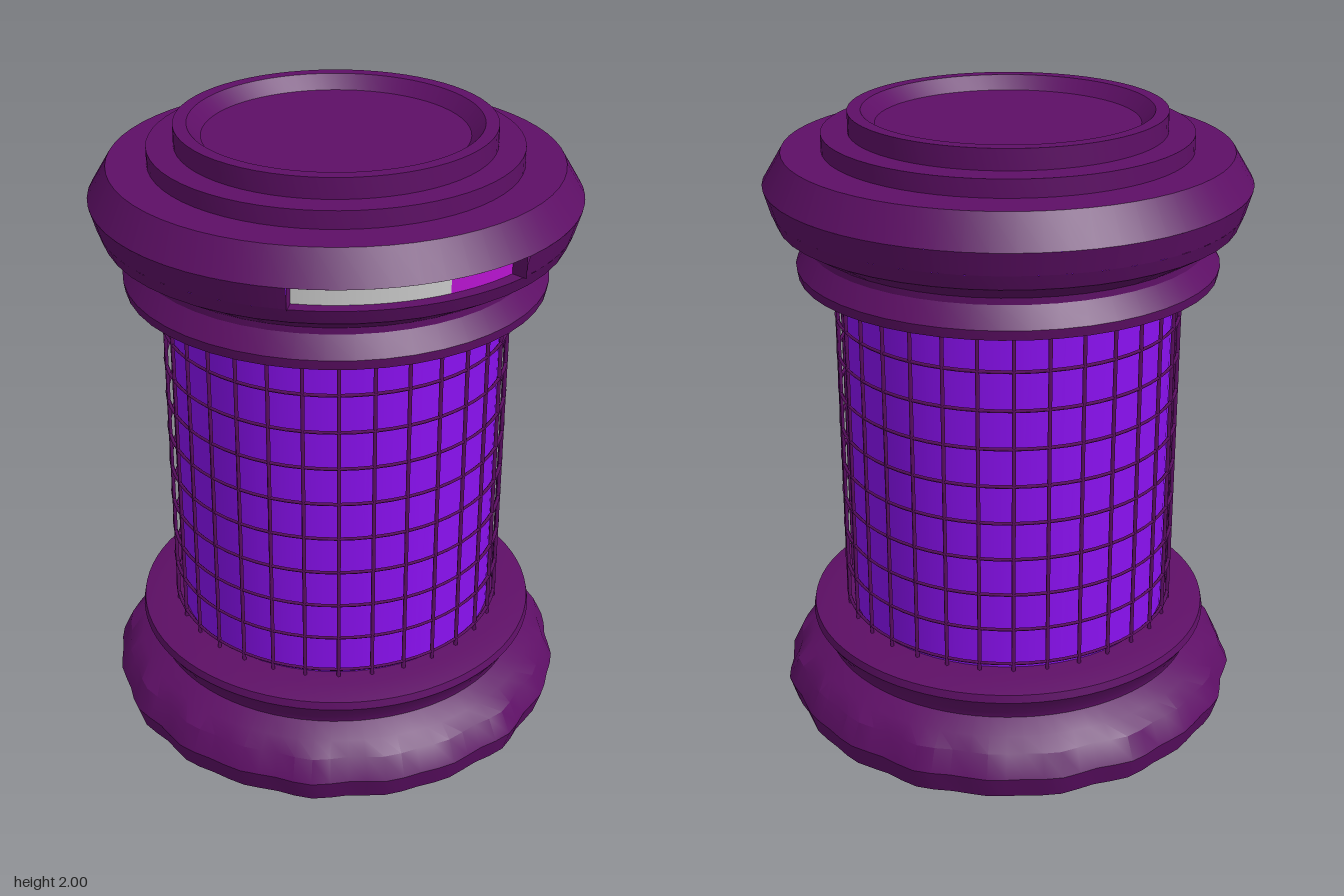
import * as THREE from 'three';
import { toCreasedNormals } from 'three/addons/utils/BufferGeometryUtils.js';

const plum = new THREE.MeshStandardMaterial({ color: 0x5e0f66, side: THREE.DoubleSide });
const violet = new THREE.MeshStandardMaterial({ color: 0x8a10f0 });
const magenta = new THREE.MeshStandardMaterial({ color: 0xb814d0 });
const grey = new THREE.MeshStandardMaterial({ color: 0xcccccc });

export function createModel() {
  const group = new THREE.Group();
  const rad = THREE.MathUtils.degToRad;

  const add = (name, geometry, material, parent = group) => {
    const mesh = new THREE.Mesh(geometry, material);
    mesh.name = name;
    parent.add(mesh);
    return mesh;
  };

  // Turned part from [radius, y] pairs listed upwards; angles run from +z towards +x
  const turned = (points, segments = 48, start = 0, sweep = 360) => new THREE.LatheGeometry(
    points.map(([r, y]) => new THREE.Vector2(r, y)), segments, rad(start), rad(sweep));
  const crease = (geometry) => toCreasedNormals(geometry, 0.5);

  // Base: bulging foot with a slightly uneven rim, groove and collar
  const base = turned([
    [0, 0], [0.35, 0.015], [0.6, 0.028], [0.71, 0.055], [0.733, 0.13], [0.7, 0.2],
    [0.655, 0.235], [0.6, 0.265], [0.605, 0.285], [0.645, 0.345], [0.64, 0.37],
    [0.57, 0.385], [0.45, 0.39],
  ], 80);
  const p = base.attributes.position;
  for (let i = 0; i < p.count; i++) {
    const x = p.getX(i), z = p.getZ(i);
    if (Math.hypot(x, z) < 0.65 || p.getY(i) > 0.22) continue;
    const a = Math.atan2(x, z);
    const k = 1 + 0.008 * Math.sin(20 * a) + 0.005 * Math.sin(13 * a + 1);
    p.setX(i, x * k);
    p.setZ(i, z * k);
  }
  add('base', crease(base), plum);

  // Inner cylinder
  add('body', new THREE.CylinderGeometry(0.51, 0.51, 1.13, 64).translate(0, 0.945, 0), violet);

  // Cage of thin rods and hoops around the body
  const cage = new THREE.Group();
  cage.name = 'cage';
  group.add(cage);
  const rod = new THREE.CylinderGeometry(0.006, 0.006, 1.12, 4).translate(0, 0.945, 0);
  for (let i = 0; i < 32; i++) {
    const a = (i / 32) * Math.PI * 2;
    add('cageRod', rod, plum, cage).position.set(0.53 * Math.sin(a), 0, 0.53 * Math.cos(a));
  }
  const hoop = new THREE.TorusGeometry(0.53, 0.006, 4, 64).rotateX(Math.PI / 2);
  for (let i = 0; i < 10; i++) {
    add('cageHoop', hoop, plum, cage).position.y = 0.412 + i * 0.12;
  }

  // Cap: lower collar, band with a slot, and stepped lid with a shallow dish
  const low = 1.72, high = 1.79, slotEnd = 56, inner = 0.675;
  add('capCollar', crease(turned([
    [0.45, 1.5], [0.57, 1.5], [0.64, 1.51], [0.645, 1.54], [0.605, 1.6],
    [0.605, 1.62], [0.695, 1.675], [0.713, low],
  ])), plum);
  add('capBand', turned([[0.713, low], [0.733, high]], 42, slotEnd, 360 - slotEnd), plum);
  add('capLid', crease(turned([
    [0.733, high], [0.675, 1.885], [0.555, 1.885], [0.555, 1.938], [0.475, 1.938],
    [0.475, 2], [0.435, 2], [0.395, 1.96], [0, 1.96],
  ], 64)), plum);

  // Slot floor, ceiling and end walls
  add('slotFloor', turned([[0.713, low], [inner, low]], 12, 0, slotEnd), plum);
  add('slotCeiling', turned([[inner, high], [0.733, high]], 12, 0, slotEnd), plum);
  for (const angle of [0, slotEnd]) {
    const wall = new THREE.PlaneGeometry(0.05, high - low).rotateY(-Math.PI / 2);
    wall.translate(0, (low + high) / 2, inner + 0.025).rotateY(rad(angle));
    add('slotEnd', wall, plum);
  }

  // Indicator strip inside the slot: filled part and remainder
  add('stripFilled', turned([[inner, low], [inner, high]], 10, 0, 37.5), grey);
  add('stripRemainder', turned([[inner, low], [inner, high]], 6, 37.5, slotEnd - 37.5), magenta);

  return group;
}
